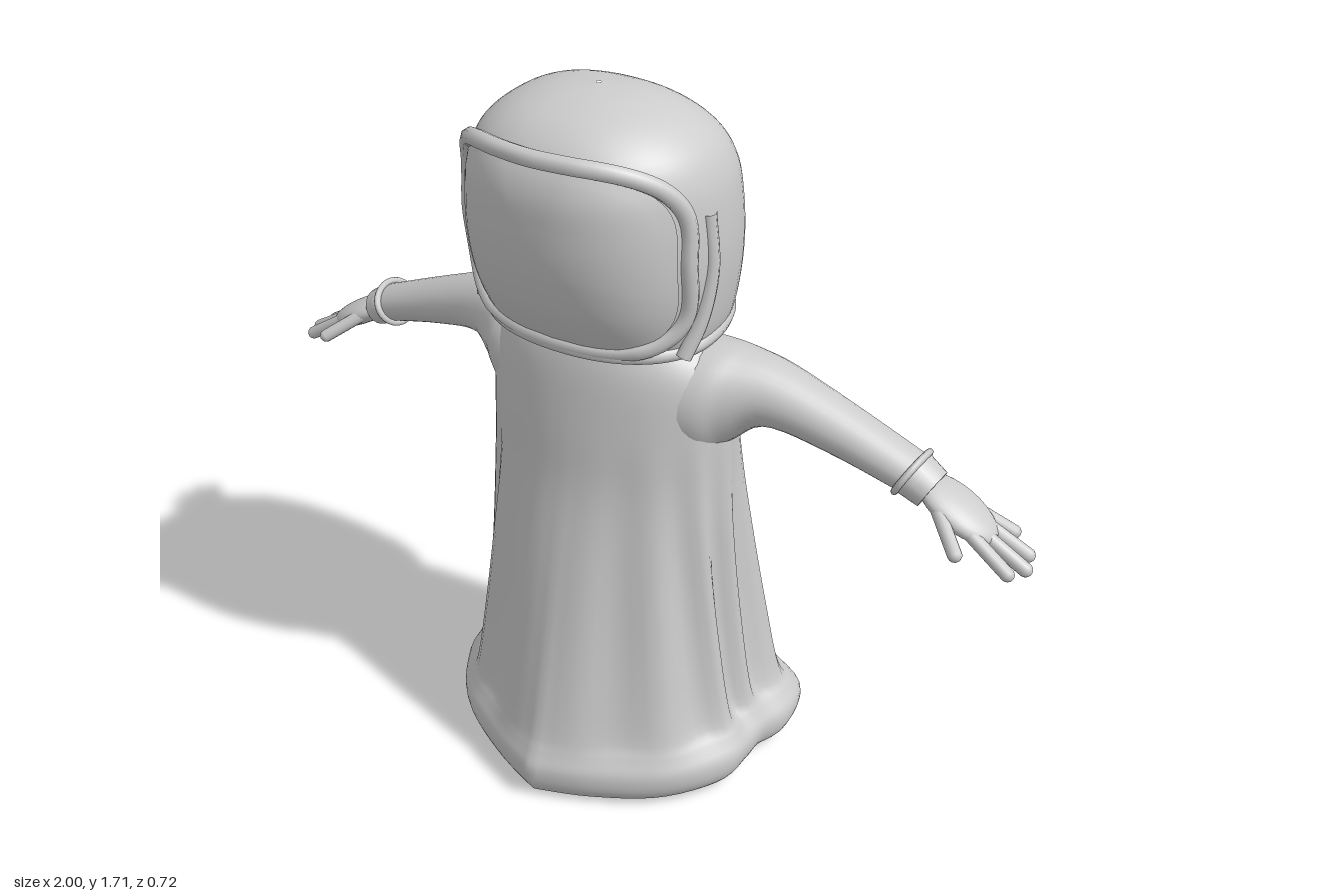
import * as THREE from 'three';

const V = (x, y, z) => new THREE.Vector3(x, y, z);
const material = new THREE.MeshStandardMaterial({ color: 0xcccccc });

function mesh(name, geometry, parent) {
  const m = new THREE.Mesh(geometry, material);
  m.name = name;
  parent.add(m);
  return m;
}

// Skin over a stack of closed rings of equal point count
function loft(rings) {
  const n = rings[0].length, pos = [], idx = [];
  rings.forEach(r => r.forEach(p => pos.push(p.x, p.y, p.z)));
  for (let i = 0; i < rings.length - 1; i++) {
    for (let j = 0; j < n; j++) {
      const a = i * n + j, b = i * n + (j + 1) % n;
      idx.push(a, b, b + n, a, b + n, a + n);
    }
  }
  const g = new THREE.BufferGeometry();
  g.setAttribute('position', new THREE.Float32BufferAttribute(pos, 3));
  g.setIndex(idx);
  g.computeVertexNormals();
  return g;
}

// Smoothly resample a list of number rows; t runs 0..1 over the rows
function sampleRows(rows, t) {
  const f = t * (rows.length - 1), i = Math.min(Math.floor(f), rows.length - 2), u = f - i;
  const row = k => rows[Math.max(0, Math.min(rows.length - 1, k))];
  return rows[0].map((_, c) => {
    const p0 = row(i - 1)[c], p1 = row(i)[c], p2 = row(i + 1)[c], p3 = row(i + 2)[c];
    return p1 + 0.5 * u * (p2 - p0 + u * (2 * p0 - 5 * p1 + 4 * p2 - p3 + u * (3 * (p1 - p2) + p3 - p0)));
  });
}

const tube = (pts, r, closed = false, n = 64) =>
  new THREE.TubeGeometry(new THREE.CatmullRomCurve3(pts, closed), n, r, 8, closed);

// Gown: y, half width, front z, back z, hem-shape amount, fold depth
const GOWN = [
  [0.06, 0.01, 0.01, 0.01, 1, 0],
  [0.04, 0.25, 0.2, 0.2, 1, 0],
  [0.015, 0.37, 0.31, 0.31, 1, 0],
  [0.045, 0.41, 0.35, 0.35, 1, 0],
  [0.1, 0.42, 0.36, 0.36, 1, 0.005],
  [0.145, 0.4, 0.345, 0.345, 1, 0.015],
  [0.2, 0.378, 0.33, 0.315, 0.95, 0.03],
  [0.4, 0.35, 0.29, 0.285, 0.8, 0.035],
  [0.6, 0.328, 0.25, 0.255, 0.6, 0.03],
  [0.8, 0.312, 0.205, 0.23, 0.3, 0.015],
  [0.95, 0.305, 0.185, 0.21, 0.1, 0.004],
  [1.08, 0.295, 0.165, 0.19, 0, 0],
  [1.15, 0.25, 0.145, 0.175, 0, 0],
  [1.2, 0.17, 0.12, 0.14, 0, 0],
];
// Right half of the hem outline seen from above, front to back
const HEM = [[0, 1], [0.33, 0.85], [0.69, 0.6], [0.92, 0.25], [0.95, 0], [0.95, -0.2],
  [1, -0.45], [0.9, -0.8], [0.6, -0.92], [0.3, -1], [0, -1]];

function gown(parent) {
  const n = 96, rings = [];
  for (let i = 0; i <= 52; i++) {
    const [y, w, zf, zb, blend, fold] = sampleRows(GOWN, i / 52);
    rings.push(Array.from({ length: n }, (_, j) => {
      const a = j / n * Math.PI * 2;
      const u = j / n * 2, side = u <= 1 ? 1 : -1;
      const [hx, hz] = sampleRows(HEM, u <= 1 ? u : 2 - u);
      const pleat = 1 - fold * (1 + Math.cos(14 * a)) * (0.4 + Math.abs(Math.sin(a)));
      const x = THREE.MathUtils.lerp(Math.sin(a), side * hx, blend) * w * pleat;
      const z = THREE.MathUtils.lerp(Math.cos(a), hz, blend) * pleat;
      // The hem rises and dips as it goes round
      const sway = y < 0.3 ? 0.03 * Math.sin(a) ** 2 * (1 - y / 0.3) : 0;
      return V(x, y + sway, z * (z > 0 ? zf : zb));
    }));
  }
  mesh('gown', loft(rings), parent);
}

// Sleeve: x, centre y, centre z, half height, half depth
const SLEEVE = [
  [0.14, 1.02, -0.02, 0.14, 0.14],
  [0.26, 1.025, -0.03, 0.135, 0.13],
  [0.32, 1.04, -0.045, 0.11, 0.105],
  [0.4, 1.055, -0.06, 0.072, 0.08],
  [0.55, 1.012, -0.075, 0.055, 0.065],
  [0.74, 0.945, -0.088, 0.042, 0.055],
];

function arm(name, side, parent) {
  const g = new THREE.Group();
  g.name = name;
  g.scale.x = side;
  parent.add(g);
  const rings = [];
  for (let i = 0; i <= 24; i++) {
    const [x, y, z, h, d] = sampleRows(SLEEVE, i / 24);
    rings.push(Array.from({ length: 28 }, (_, j) => {
      const a = j / 28 * Math.PI * 2;
      return V(x + 0.3 * h * Math.cos(a) * i / 24, y + h * Math.cos(a), z + d * Math.sin(a));
    }));
  }
  mesh('sleeve', loft(rings), g);

  // Gloved hand, pointing along its own x
  const hand = new THREE.Group();
  hand.name = 'hand';
  hand.position.set(0.72, 0.95, -0.088);
  hand.rotation.z = -0.49;
  g.add(hand);
  const cuff = mesh('cuff', new THREE.CylinderGeometry(0.045, 0.052, 0.06, 24), hand);
  cuff.rotation.z = -Math.PI / 2;
  cuff.position.x = 0.015;
  cuff.scale.z = 1.15;
  const lip = mesh('cuffLip', new THREE.TorusGeometry(0.052, 0.008, 8, 28), hand);
  lip.rotation.y = Math.PI / 2;
  lip.position.x = -0.012;
  lip.scale.x = 1.2;
  const palm = mesh('palm', new THREE.SphereGeometry(1, 24, 16), hand);
  palm.scale.set(0.105, 0.031, 0.066);
  palm.position.set(0.11, 0, -0.008);
  // Fingers: base x, base z, tip x, tip z, tip y
  [[0.13, -0.045, 0.235, -0.09, -0.012], [0.15, -0.028, 0.29, -0.055, -0.008],
    [0.16, 0, 0.305, -0.008, -0.006], [0.15, 0.028, 0.283, 0.04, -0.01],
    [0.07, 0.03, 0.175, 0.1, -0.016]].forEach(([bx, bz, tx, tz, ty], i) => {
    const a = V(bx, 0, bz), b = V(tx, ty, tz), d = b.clone().sub(a);
    const f = mesh(i < 4 ? 'finger' : 'thumb', new THREE.CapsuleGeometry(0.016, d.length() - 0.01, 6, 12), hand);
    f.position.copy(a).add(b).multiplyScalar(0.5);
    f.quaternion.setFromUnitVectors(V(0, 1, 0), d.normalize());
  });
}

// Helmet: y, half width, front z, back z
const HELMET = [
  [1.165, 0.01, 0.03, 0.02], [1.165, 0.18, 0.14, -0.16], [1.18, 0.245, 0.2, -0.215],
  [1.21, 0.275, 0.225, -0.24], [1.3, 0.293, 0.255, -0.248], [1.4, 0.3, 0.278, -0.245],
  [1.5, 0.295, 0.285, -0.232], [1.57, 0.282, 0.285, -0.21], [1.63, 0.25, 0.27, -0.165],
  [1.68, 0.185, 0.215, -0.1], [1.71, 0.1, 0.135, -0.03], [1.72, 0.005, 0.055, 0.045],
];
const MID_Z = 0.03, POWER = 2.2;
const spow = (v, p) => Math.sign(v) * Math.abs(v) ** p;

function helmetRow(y) {
  let i = 1;
  while (i < HELMET.length - 2 && HELMET[i + 1][0] < y) i++;
  const u = (y - HELMET[i][0]) / (HELMET[i + 1][0] - HELMET[i][0]);
  return sampleRows(HELMET, (i + u) / (HELMET.length - 1));
}
function helmetFront(x, y) {
  const [, w, zf] = helmetRow(y);
  return MID_Z + (zf - MID_Z) * Math.max(0, 1 - Math.min(1, Math.abs(x) / w) ** POWER) ** (1 / POWER);
}

function helmet(parent) {
  const g = new THREE.Group();
  g.name = 'helmet';
  parent.add(g);
  const ringAt = ([y, w, zf, zb], n, grow = 0) => Array.from({ length: n }, (_, j) => {
    const a = j / n * Math.PI * 2, c = spow(Math.cos(a), 2 / POWER);
    const mid = Math.min(Math.max(MID_Z, zb), zf);
    return V((w + grow) * spow(Math.sin(a), 2 / POWER), y, mid + c * (c > 0 ? zf - mid + grow : mid - zb + grow));
  });
  const rings = [];
  for (let i = 0; i <= 44; i++) rings.push(ringAt(sampleRows(HELMET, i / 44), 64));
  mesh('shell', loft(rings), g);

  // Bulging visor that follows the front of the shell
  const opening = (a, r) => [0.268 * r * spow(Math.cos(a), 0.55), 1.41 + 0.207 * r * spow(Math.sin(a), 0.55)];
  const visor = [];
  for (let i = 0; i <= 14; i++) {
    const r = 1 - i / 14 * 0.999;
    visor.push(Array.from({ length: 64 }, (_, j) => {
      const [x, y] = opening(j / 64 * Math.PI * 2, r);
      return V(x, y, helmetFront(x, y) + 0.006 + 0.016 * (1 - r ** 4));
    }));
  }
  mesh('visor', loft(visor), g);

  // Raised frame with a brim that juts forward over the visor
  const frame = [];
  for (let j = 0; j < 48; j++) {
    const a = j / 48 * Math.PI * 2, [x, y] = opening(a, 1.04);
    const brim = Math.max(0, Math.sin(a)) ** 2;
    frame.push(V(x, y + 0.012 * brim, helmetFront(x, y) + 0.02 * brim));
  }
  mesh('visorFrame', tube(frame, 0.02, true, 120), g);

  // Rolled bottom edge, lower at the chin
  const rim = ringAt([1.2, 0.266, 0.216, -0.23], 40);
  rim.forEach(p => { p.y -= 0.012 * (p.z / 0.22); });
  mesh('bottomRim', tube(rim, 0.017, true, 100), g);

  // Ridges beside the visor
  for (const s of [-1, 1]) {
    mesh('sideRidge', tube([V(s * 0.262, 1.19, 0.12), V(s * 0.283, 1.27, 0.09),
      V(s * 0.293, 1.38, 0.07), V(s * 0.285, 1.51, 0.075)], 0.018, false, 24), g);
  }
}

export function createModel() {
  const model = new THREE.Group();
  model.name = 'helmetedFigure';
  gown(model);
  arm('leftArm', 1, model);
  arm('rightArm', -1, model);
  helmet(model);
  return model;
}
